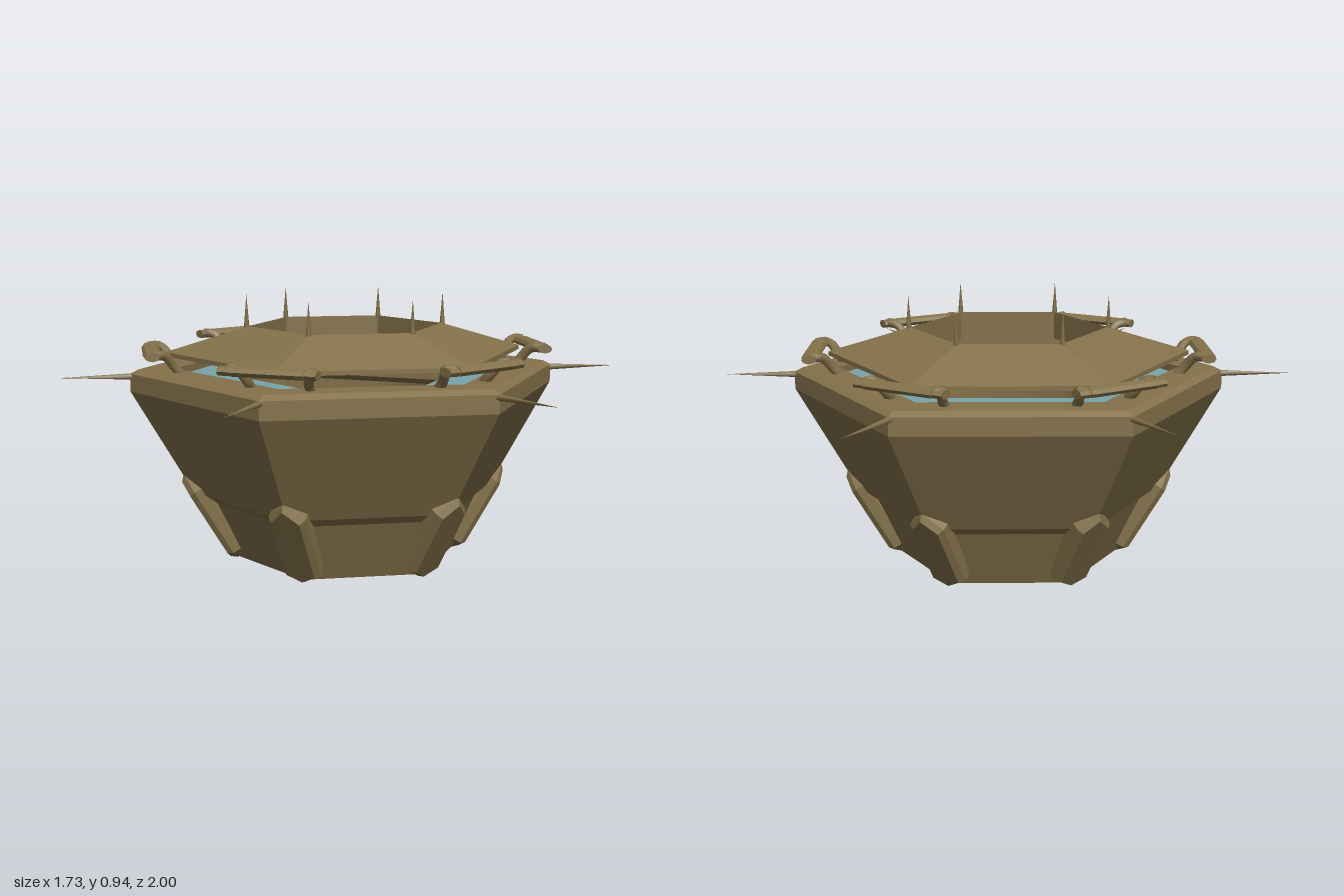
import * as THREE from 'three';

const bronze = new THREE.MeshStandardMaterial({ color: 0x84724a });
bronze.name = 'bronze';
const glass = new THREE.MeshStandardMaterial({ color: 0x78a5ab });
glass.name = 'paleBlueGlass';

const flat = (g) => {
  const f = g.index ? g.toNonIndexed() : g;
  f.computeVertexNormals();
  return f;
};

// Six-sided lathe; profile given as [distance to flat side, height]
const hexLathe = (profile) => new THREE.LatheGeometry(
  profile.map(([a, y]) => new THREE.Vector2(a / Math.cos(Math.PI / 6), y)), 6);

function add(parent, name, geometry, material = bronze) {
  const mesh = new THREE.Mesh(geometry, material);
  mesh.name = name;
  parent.add(mesh);
  return mesh;
}

// Bevelled rib that leans along a lower hull edge
function buttressGeometry() {
  const s = new THREE.Shape();
  [[0, 0.02], [0.05, 0.05], [0.05, 0.295], [0, 0.345], [-0.05, 0.295], [-0.05, 0.05]]
    .forEach(([x, y], i) => (i ? s.lineTo(x, y) : s.moveTo(x, y)));
  s.closePath();
  const g = new THREE.ExtrudeGeometry(s, {
    depth: 0.04, bevelEnabled: true, bevelSize: 0.015, bevelThickness: 0.02, bevelSegments: 1,
  });
  g.translate(0, 0, -0.015);
  g.rotateX(0.54);
  g.translate(0, 0, 0.37);
  return flat(g);
}

// Curved arm from the rim up to a docking bar
function armGeometry(side) {
  const path = new THREE.CatmullRomCurve3([
    [0.1, 0.66, 0.575], [0.105, 0.7, 0.61], [0.125, 0.738, 0.64], [0.145, 0.742, 0.67], [0.13, 0.74, 0.69],
  ].map(([x, y, z]) => new THREE.Vector3(side * x, y, z)));
  return new THREE.TubeGeometry(path, 10, 0.017, 6);
}

export function createModel() {
  const model = new THREE.Group();
  model.name = 'hexStation';

  // Flared hull, rim and recessed deck ledge
  add(model, 'hull', flat(hexLathe([
    [0.345, 0], [0.352, 0], [0.435, 0.205], [0.472, 0.235], [0.655, 0.6], [0.655, 0.662],
    [0.63, 0.677], [0.52, 0.677], [0.52, 0.645], [0.36, 0.645],
  ])));
  add(model, 'innerShaft', hexLathe([[0.36, 0.645], [0.345, 0]]));
  add(model, 'glassDeck', flat(hexLathe([[0.52, 0.651], [0.36, 0.651], [0.36, 0.645]])), glass);

  // Floating roof ring
  add(model, 'roofRing', flat(hexLathe([
    [0.3, 0.72], [0.55, 0.72], [0.55, 0.735], [0.3, 0.82], [0.3, 0.72],
  ])));

  // Cross beams stacked at three heights in the shaft
  [[0, 0.667], [Math.PI / 3, 0.41], [-Math.PI / 3, 0.155]].forEach(([turn, y]) => {
    const g = new THREE.CylinderGeometry(0.043, 0.043, 0.74, 6);
    g.rotateX(0).rotateY(Math.PI / 2).rotateZ(Math.PI / 2);
    const beam = add(model, 'crossBeam', flat(g));
    beam.position.y = y;
    beam.rotation.y = turn;
  });

  // Parts repeated at every corner
  const buttress = buttressGeometry();
  const arms = [-1, 1].map(armGeometry);
  const barBody = flat(new THREE.CylinderGeometry(0.031, 0.031, 0.25, 8).rotateZ(Math.PI / 2));
  const barEnd = flat(new THREE.CylinderGeometry(0.026, 0.026, 0.04, 8).rotateZ(Math.PI / 2));
  const sideSpike = new THREE.ConeGeometry(0.012, 0.27, 6).rotateX(Math.PI / 2);
  const roofSpike = new THREE.ConeGeometry(0.01, 0.12, 6);

  for (let i = 0; i < 6; i++) {
    const corner = new THREE.Group();
    corner.name = 'corner';
    corner.rotation.y = (i * Math.PI) / 3;
    model.add(corner);

    add(corner, 'buttress', buttress);
    arms.forEach((g) => add(corner, 'dockingArm', g));

    const bar = add(corner, 'dockingBar', barBody);
    bar.position.set(0, 0.738, 0.682);
    bar.scale.y = 0.55;
    [-1, 1].forEach((side) => {
      const end = add(corner, 'dockingBarEnd', barEnd);
      end.position.set(side * 0.145, 0.738, 0.682);
      end.scale.y = 0.6;
    });

    add(corner, 'sideSpike', sideSpike).position.set(0, 0.653, 0.865);
    add(corner, 'roofSpike', roofSpike).position.set(0, 0.872, 0.35);
  }
  return model;
}
